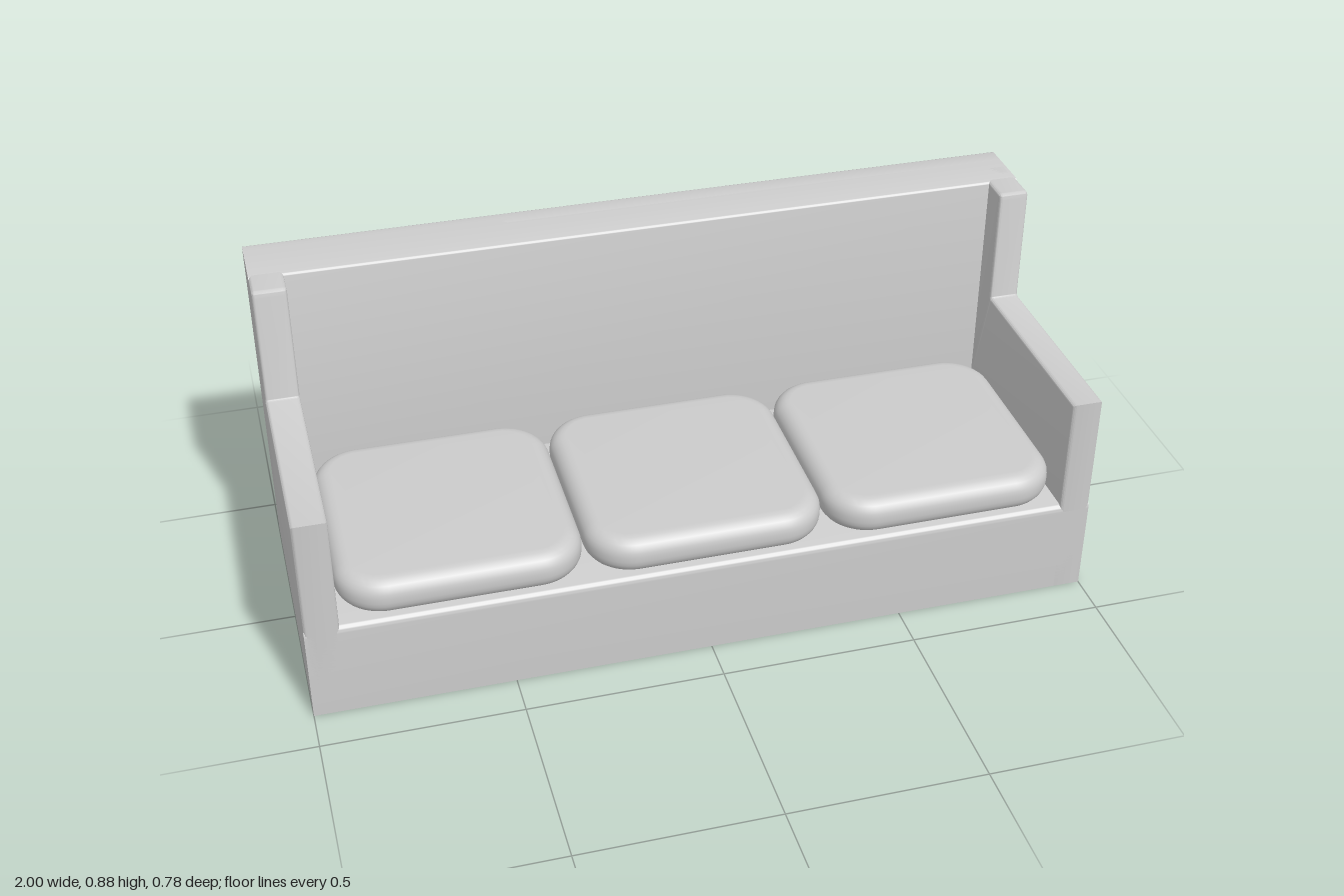
import * as THREE from 'three';
import { toCreasedNormals } from 'three/addons/utils/BufferGeometryUtils.js';

const material = new THREE.MeshStandardMaterial({ color: 0xcccccc });

// Extrudes a shape to a total depth; rounded edges stay within the outline
function slab(shape, depth, bevel = 0, segments = 3, crease = 0.6) {
  const geometry = new THREE.ExtrudeGeometry(shape, {
    depth: depth - 2 * bevel,
    bevelEnabled: bevel > 0,
    bevelThickness: bevel,
    bevelSize: bevel,
    bevelOffset: -bevel,
    bevelSegments: segments,
    curveSegments: 8,
  });
  geometry.translate(0, 0, bevel);
  return toCreasedNormals(geometry, crease);
}

// Side profile (z, y) swept across x from x0 to x1
function sweepX(shape, x0, x1, bevel) {
  return slab(shape, x1 - x0, bevel).rotateY(-Math.PI / 2).translate(x1, 0, 0);
}

function roundedRect(w, h, r) {
  const s = new THREE.Shape();
  s.absarc(w / 2 - r, h / 2 - r, r, 0, Math.PI / 2);
  s.absarc(-w / 2 + r, h / 2 - r, r, Math.PI / 2, Math.PI);
  s.absarc(-w / 2 + r, -h / 2 + r, r, Math.PI, Math.PI * 1.5);
  s.absarc(w / 2 - r, -h / 2 + r, r, Math.PI * 1.5, Math.PI * 2);
  s.closePath();
  return s;
}

function rectPath(x0, y0, x1, y1, Type = THREE.Path) {
  return new Type([[x0, y0], [x1, y0], [x1, y1], [x0, y1]].map(p => new THREE.Vector2(...p)));
}

export function createModel() {
  const sofa = new THREE.Group();
  sofa.name = 'sofa';
  const add = (name, geometry) => {
    const mesh = new THREE.Mesh(geometry, material);
    mesh.name = name;
    sofa.add(mesh);
    return mesh;
  };

  // Seat base and backrest in one L-shaped sweep
  const body = new THREE.Shape();
  body.moveTo(-0.372, 0);
  body.lineTo(0.39, 0);
  body.lineTo(0.39, 0.24);
  body.quadraticCurveTo(0.39, 0.26, 0.37, 0.26);
  body.lineTo(-0.225, 0.26);
  body.lineTo(-0.225, 0.863);
  body.quadraticCurveTo(-0.225, 0.875, -0.237, 0.875);
  body.lineTo(-0.372, 0.875);
  body.closePath();
  add('seatAndBackrest', sweepX(body, -1, 1, 0));

  // Armrests stepping up into wings beside the backrest
  const arm = new THREE.Shape();
  arm.moveTo(-0.3, 0);
  arm.lineTo(0.39, 0);
  arm.lineTo(0.39, 0.567);
  arm.lineTo(-0.14, 0.567);
  arm.quadraticCurveTo(-0.148, 0.567, -0.148, 0.578);
  arm.lineTo(-0.148, 0.861);
  arm.quadraticCurveTo(-0.148, 0.875, -0.162, 0.875);
  arm.lineTo(-0.3, 0.875);
  arm.closePath();
  add('leftArm', sweepX(arm, 0.922, 1, 0.008));
  add('rightArm', sweepX(arm, -1, -0.915, 0.008));

  // Rear frame with a grid of recessed panels
  const frame = rectPath(-1, 0, 1, 0.875, THREE.Shape);
  const rows = [[0.045, 0.25], [0.3, 0.55], [0.595, 0.83]];
  const columns = 8, span = 1.79, rib = 0.022;
  const pitch = (span + rib) / columns;
  for (const [bottom, top] of rows) {
    for (let i = 0; i < columns; i++) {
      const x = -span / 2 + i * pitch;
      frame.holes.push(rectPath(x, bottom, x + pitch - rib, top));
    }
  }
  add('rearPanelFrame', slab(frame, 0.06, 0.007).translate(0, 0, -0.392));

  // Three plump seat cushions
  const cushion = slab(roundedRect(0.607, 0.605, 0.12), 0.097, 0.042, 6, 0.9).rotateX(-Math.PI / 2);
  ['rightCushion', 'middleCushion', 'leftCushion'].forEach((name, i) => {
    add(name, cushion).position.set(0.005 + (i - 1) * 0.612, 0.259, 0.083);
  });

  return sofa;
}
